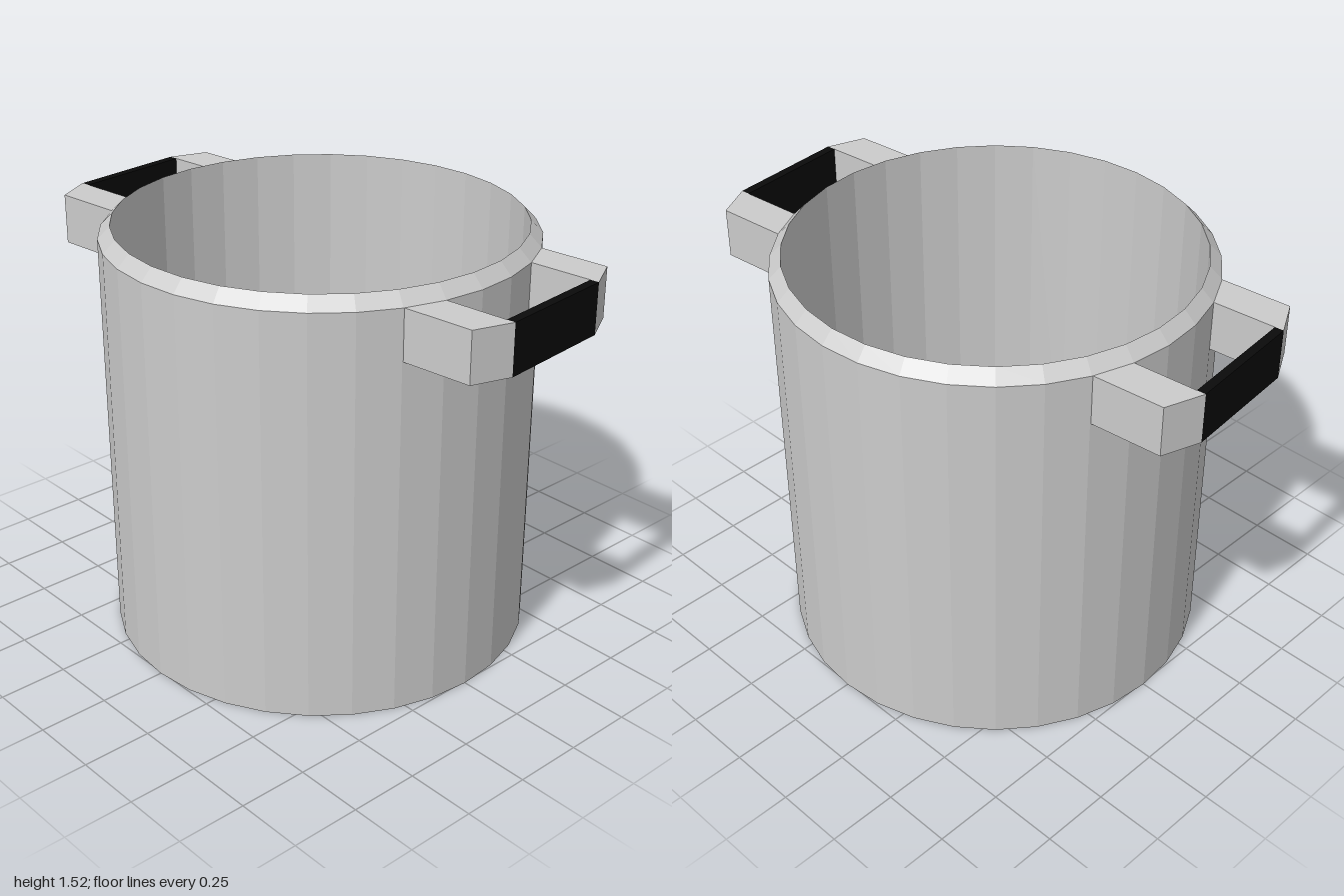
import * as THREE from 'three';

const grey = new THREE.MeshStandardMaterial({ color: 0xcccccc, flatShading: true });
const black = new THREE.MeshStandardMaterial({ color: 0x0a0a0a, flatShading: true });

const HANDLE_TOP = 1.475;
const HANDLE_HEIGHT = 0.18;

// Extrudes a plan outline of [x, z] corners down from the handle top.
function slab(name, outline, material) {
  const shape = new THREE.Shape(outline.map(([x, z]) => new THREE.Vector2(x, z)));
  const geometry = new THREE.ExtrudeGeometry(shape, { depth: HANDLE_HEIGHT, bevelEnabled: false });
  geometry.rotateX(Math.PI / 2).translate(0, HANDLE_TOP, 0);
  const mesh = new THREE.Mesh(geometry, material);
  mesh.name = name;
  return mesh;
}

// Two arms with slanted ends, joined by a dark grip.
function createHandle(name, angle) {
  const handle = new THREE.Group();
  handle.name = name;
  for (const side of [1, -1]) {
    const arm = [[0.22, 0.70], [0.355, 0.65], [0.355, 0.926], [0.22, 0.984]];
    handle.add(slab(side > 0 ? 'leftArm' : 'rightArm', arm.map(([x, z]) => [x * side, z]), grey));
  }
  handle.add(slab('grip', [[-0.22, 0.952], [0.22, 0.952], [0.22, 0.984], [-0.22, 0.984]], black));
  handle.rotation.y = angle;
  return handle;
}

export function createModel() {
  const model = new THREE.Group();
  model.name = 'cookingPot';

  // Hollow body: base, outer wall, bevelled rim, inner wall, floor
  const profile = [
    [0, 0], [0.757, 0], [0.757, 1.475], [0.714, 1.52], [0.714, 0.045], [0, 0.045],
  ].map(([r, y]) => new THREE.Vector2(r, y));
  const body = new THREE.Mesh(new THREE.LatheGeometry(profile, 32), grey);
  body.name = 'potBody';
  model.add(body);

  // Opposite handles, turned slightly about the pot's axis
  model.add(createHandle('frontHandle', 0.1), createHandle('backHandle', 0.1 + Math.PI));
  return model;
}
